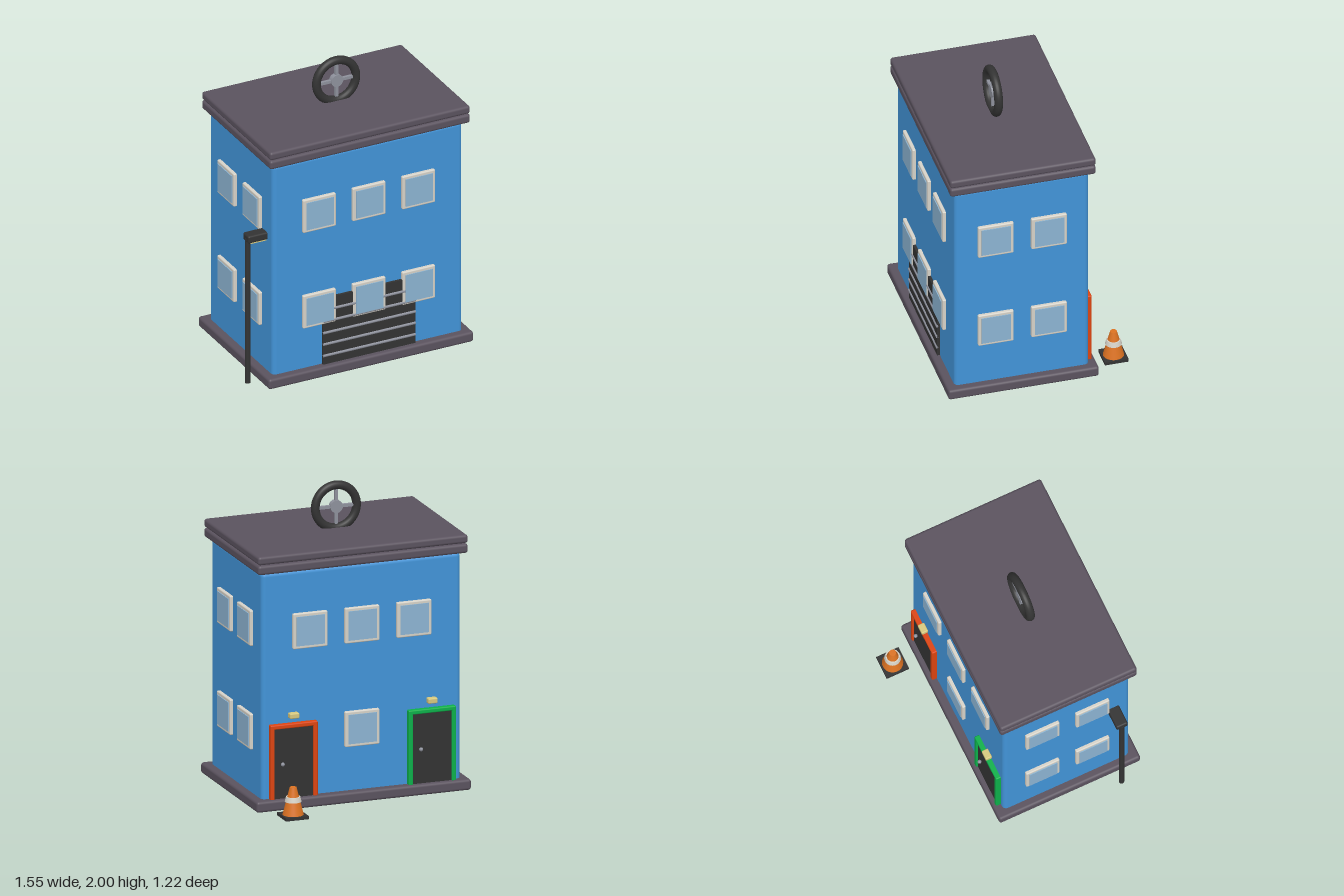
import * as THREE from 'three';
import { RoundedBoxGeometry } from 'three/addons/geometries/RoundedBoxGeometry.js';

function material(name, color) {
  const m = new THREE.MeshStandardMaterial({ color });
  m.name = name;
  return m;
}

export function createModel() {
  const model = new THREE.Group();
  model.name = 'building';
  const blue = material('wall blue', 0x4294d8);
  const plum = material('trim plum', 0x5a525e);
  const glass = material('window glass', 0x8cb4d2);
  const cream = material('cream', 0xd6d2c8);
  const red = material('door red', 0xdc4410);
  const green = material('door green', 0x0cb04a);
  const dark = material('charcoal', 0x333333);
  const yellow = material('lamp yellow', 0xd6c87e);
  const grey = material('metal grey', 0x8e919c);
  const orange = material('cone orange', 0xdc7222);

  function add(parent, name, geometry, mat, x = 0, y = 0, z = 0) {
    const mesh = new THREE.Mesh(geometry, mat);
    mesh.name = name;
    mesh.position.set(x, y, z);
    parent.add(mesh);
    return mesh;
  }
  function group(name, x = 0, y = 0, z = 0, turn = 0) {
    const g = new THREE.Group();
    g.name = name;
    g.position.set(x, y, z);
    g.rotation.y = turn;
    model.add(g);
    return g;
  }
  const box = (w, h, d) => new THREE.BoxGeometry(w, h, d);
  const rounded = (w, h, d, r) => new RoundedBoxGeometry(w, h, d, 3, r);

  const CX = 0.045, CZ = 0.111; // centre of the building
  const FRONT = 0.555, BACK = -0.333, LEFT = 0.725, RIGHT = -0.635;

  // Walls, plinth and two roof slabs
  add(model, 'walls', rounded(1.36, 1.53, 0.888, 0.03), blue, CX, 0.81, CZ);
  add(model, 'plinth', rounded(1.466, 0.072, 0.995, 0.018), plum, CX, 0.04, CZ);
  add(model, 'lowerRoofSlab', rounded(1.434, 0.062, 0.963, 0.018), plum, CX, 1.604, CZ);
  add(model, 'upperRoofSlab', rounded(1.434, 0.056, 0.963, 0.018), plum, CX, 1.667, CZ);

  // Windows, with local +z pointing out of the wall
  function addWindow(x, y, z, turn) {
    const w = group('window', x, y, z, turn);
    add(w, 'windowFrame', rounded(0.235, 0.235, 0.044, 0.008), cream);
    add(w, 'windowPane', box(0.194, 0.194, 0.008), glass, 0, 0, 0.024);
  }
  for (const y of [0.485, 1.172]) {
    for (const x of [-0.31, CX, 0.4]) {
      addWindow(x, y, FRONT, 0);
      if (y > 1 || x === CX) addWindow(x, y, BACK, Math.PI);
    }
    for (const z of [0.287, -0.065]) {
      addWindow(LEFT, y, z, Math.PI / 2);
      addWindow(RIGHT, y, z, -Math.PI / 2);
    }
  }

  // Roller shutter with horizontal ribs
  const shutter = group('shutter', CX, 0, FRONT);
  add(shutter, 'shutterPanel', box(0.66, 0.475, 0.036), dark, 0, 0.3125, 0);
  for (let i = 0; i < 5; i++) {
    const rib = add(shutter, 'shutterRib', new THREE.CylinderGeometry(0.01, 0.01, 0.66, 12), grey,
      0, 0.138 + i * 0.082, 0.016);
    rib.rotation.z = Math.PI / 2;
  }

  // Back doors, each with surround, knob and lamp
  function addDoor(name, x, trim) {
    const d = group(name, x, 0, BACK, Math.PI);
    add(d, 'doorPanel', box(0.27, 0.47, 0.044), dark, 0, 0.305, 0);
    for (const s of [-1, 1]) {
      add(d, 'doorJamb', rounded(0.03, 0.495, 0.066, 0.008), trim, s * 0.147, 0.3175, 0);
    }
    add(d, 'doorLintel', rounded(0.324, 0.03, 0.066, 0.008), trim, 0, 0.553, 0);
    add(d, 'doorKnob', new THREE.SphereGeometry(0.013, 16, 12), grey, -0.08, 0.305, 0.035);
    add(d, 'doorLamp', rounded(0.065, 0.036, 0.045, 0.008), yellow, 0, 0.619, 0.021);
  }
  addDoor('redDoor', 0.515, red);
  addDoor('greenDoor', -0.43, green);

  // Lamp post beside the right wall
  const post = group('lampPost', 0, 0, 0.44);
  add(post, 'post', new THREE.CylinderGeometry(0.018, 0.018, 1.04, 20), dark, -0.757, 0.52, 0);
  add(post, 'lampHead', rounded(0.145, 0.052, 0.08, 0.012), dark, -0.699, 1.041, 0);
  add(post, 'lampGlow', box(0.11, 0.009, 0.06), yellow, -0.692, 1.011, 0);

  // Upright wheel on the roof
  const wheel = group('roofWheel', 0.045, 1.83, 0.113);
  add(wheel, 'tyre', new THREE.TorusGeometry(0.141, 0.028, 20, 56), dark);
  const hub = add(wheel, 'hub', new THREE.CylinderGeometry(0.042, 0.042, 0.034, 24), grey);
  hub.rotation.x = Math.PI / 2;
  add(wheel, 'spokes', box(0.26, 0.02, 0.02), grey);
  add(wheel, 'spokes', box(0.02, 0.26, 0.02), grey);

  // Traffic cone behind the building
  const cone = group('trafficCone', 0.589, 0, -0.533);
  add(cone, 'coneBase', box(0.157, 0.02, 0.157), dark, 0, 0.01, 0);
  add(cone, 'coneBody', new THREE.CylinderGeometry(0.022, 0.068, 0.18, 32), orange, 0, 0.11, 0);
  add(cone, 'coneBand', new THREE.CylinderGeometry(0.046, 0.054, 0.032, 32), cream, 0, 0.122, 0);

  return model;
}
